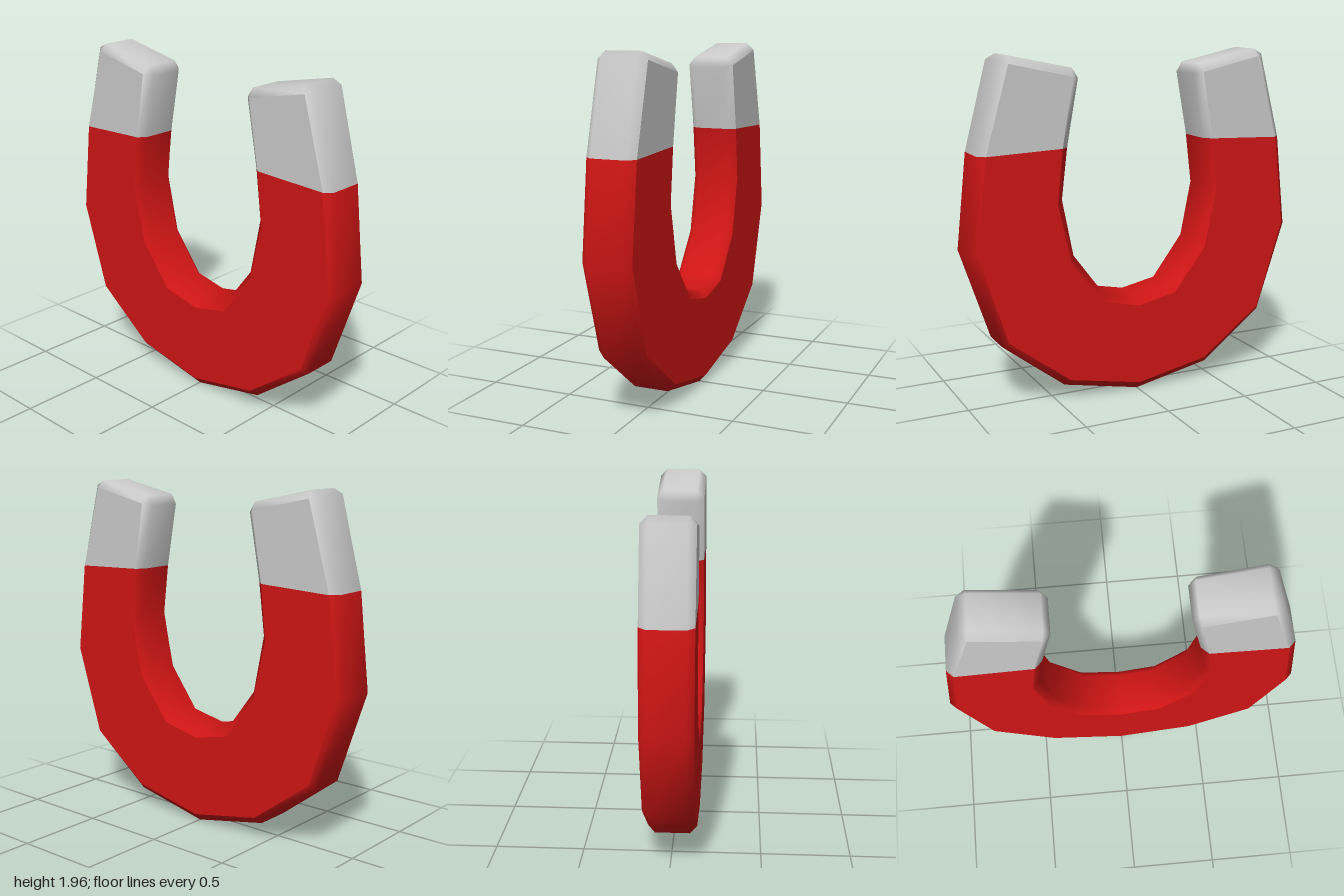
import * as THREE from 'three';
import { mergeGeometries, mergeVertices } from 'three/addons/utils/BufferGeometryUtils.js';

// Half of the horseshoe outline, from the outer bottom over the tip to the inner bottom.
// Each entry: rim z, rim y, side-face z, side-face y (inset by the chamfer).
const HALF = [
  [0, 0, 0, 0.045],
  [0.46, 0.095, 0.437, 0.132],
  [0.825, 0.375, 0.8, 0.405],
  [1, 0.902, 0.962, 0.916],
  [0.94, 1.442, 0.9, 1.443], // outer seam
  [0.81, 1.935, 0.765, 1.922],
  [0.756, 1.964, 0.765, 1.922],
  [0.391, 1.888, 0.402, 1.842],
  [0.357, 1.832, 0.402, 1.842],
  [0.425, 1.46, 0.467, 1.459], // inner seam
  [0.46, 1.17, 0.499, 1.152],
  [0.395, 0.848, 0.424, 0.814],
  [0.21, 0.603, 0.23, 0.566],
  [0, 0.56, 0, 0.516],
];
const SIDE_X = 0.14, RIM_X = 0.1;

// Full closed outline: the half plus its mirror image in z
const LOOP = [
  ...HALF,
  ...HALF.slice(1, -1).reverse().map(([rz, ry, fz, fy]) => [-rz, ry, -fz, fy]),
];
const N = LOOP.length;
const range = (a, b) => Array.from({ length: b - a + 1 }, (_, i) => a + i);

// Smooth chamfered band round the whole outline, 18 indices per outline segment
function makeBand() {
  const positions = [], index = [];
  LOOP.forEach(([rz, ry, fz, fy], i) => {
    positions.push(-SIDE_X, fy, fz, -RIM_X, ry, rz, RIM_X, ry, rz, SIDE_X, fy, fz);
    const a = i * 4, b = ((i + 1) % N) * 4;
    for (let c = 0; c < 3; c++) {
      index.push(a + c, a + c + 1, b + c + 1, a + c, b + c + 1, b + c);
    }
  });
  const geo = new THREE.BufferGeometry();
  geo.setAttribute('position', new THREE.Float32BufferAttribute(positions, 3));
  geo.setIndex(index);
  const welded = mergeVertices(geo);
  welded.computeVertexNormals();
  return welded;
}

// The band over the given outline segments only
function bandPart(band, segments) {
  const all = Array.from(band.index.array);
  const part = band.clone();
  part.setIndex(segments.flatMap((s) => all.slice(s * 18, s * 18 + 18)));
  return part.toNonIndexed();
}

// Both flat side faces over the given outline points
function sideFaces(points) {
  const contour = points.map((i) => new THREE.Vector2(LOOP[i][2], LOOP[i][3]));
  const positions = [];
  const put = (x, k) => positions.push(x, contour[k].y, contour[k].x);
  for (const [a, b, c] of THREE.ShapeUtils.triangulateShape(contour, [])) {
    [a, b, c].forEach((k) => put(-SIDE_X, k));
    [a, c, b].forEach((k) => put(SIDE_X, k));
  }
  const geo = new THREE.BufferGeometry();
  geo.setAttribute('position', new THREE.Float32BufferAttribute(positions, 3));
  geo.computeVertexNormals();
  return geo;
}

export function createModel() {
  const magnet = new THREE.Group();
  magnet.name = 'horseshoeMagnet';
  const red = new THREE.MeshStandardMaterial({ color: 0xd01515 });
  const grey = new THREE.MeshStandardMaterial({ color: 0xcccccc });
  const band = makeBand();

  function addPart(name, material, segments, points) {
    const geo = mergeGeometries([bandPart(band, segments), sideFaces(points)]);
    const mesh = new THREE.Mesh(geo, material);
    mesh.name = name;
    magnet.add(mesh);
  }

  // Curved body
  addPart('body', red,
    [...range(0, 3), ...range(9, 16), ...range(22, 25)],
    [...range(0, 4), ...range(9, 17), ...range(22, 25)]);
  // Pole tips
  addPart('frontTip', grey, range(4, 8), [4, 5, 7, 9]);
  addPart('backTip', grey, range(17, 21), [17, 18, 20, 22]);

  return magnet;
}
